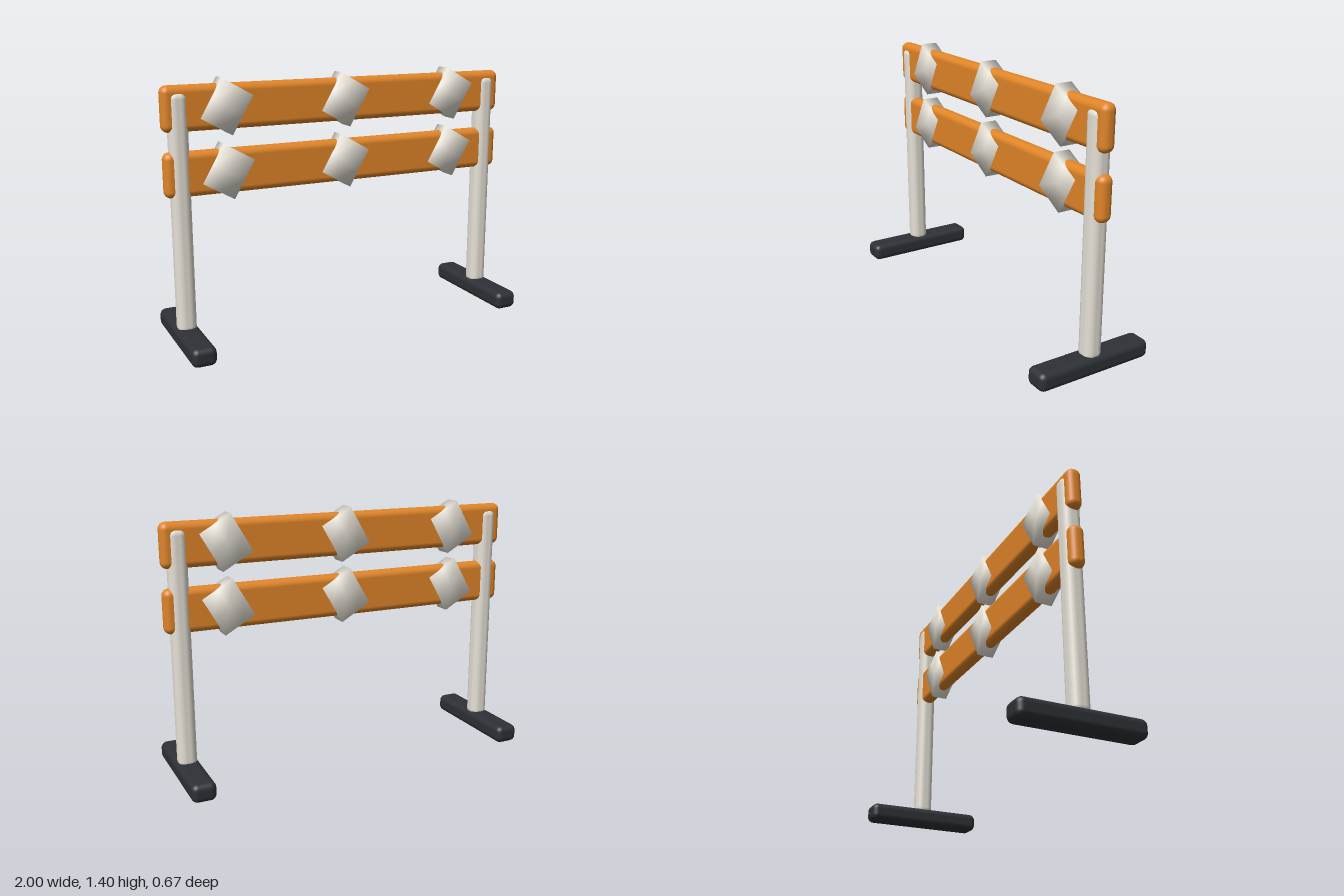
import * as THREE from 'three';
import { RoundedBoxGeometry } from 'three/addons/geometries/RoundedBoxGeometry.js';
import { mergeVertices } from 'three/addons/utils/BufferGeometryUtils.js';

const orange = new THREE.MeshStandardMaterial({ color: 0xe08528 });
const cream = new THREE.MeshStandardMaterial({ color: 0xe6e1d6 });
const black = new THREE.MeshStandardMaterial({ color: 0x2d3135 });

// Box with shared corners, so shading runs softly over its edges
function softBox(w, h, d) {
  const box = new THREE.BoxGeometry(w, h, d, 2, 2, 1);
  box.deleteAttribute('normal');
  box.deleteAttribute('uv');
  const geometry = mergeVertices(box);
  geometry.computeVertexNormals();
  return geometry;
}

export function createModel() {
  const group = new THREE.Group();
  const add = (name, geometry, material, x, y, z = 0) => {
    const mesh = new THREE.Mesh(geometry, material);
    mesh.name = name;
    mesh.position.set(x, y, z);
    group.add(mesh);
    return mesh;
  };

  // Feet and posts at both ends
  const foot = new RoundedBoxGeometry(0.13, 0.1, 0.666, 4, 0.033);
  const post = new RoundedBoxGeometry(0.1, 1.273, 0.1, 5, 0.04);
  for (const [side, x] of [['left', 0.915], ['right', -0.915]]) {
    add(side + 'Foot', foot, black, x, 0.05);
    add(side + 'Post', post, cream, x, 0.7065);
  }

  // Two boards, each with three slanted stripes wrapped around it
  const board = new RoundedBoxGeometry(2, 0.234, 0.08, 5, 0.036);
  const stripe = softBox(0.19, 0.23, 0.094);
  for (const [level, y] of [['upper', 1.253], ['lower', 0.919]]) {
    add(level + 'Board', board, orange, 0, y);
    [-0.667, 0, 0.667].forEach((x, i) => {
      add(level + 'Stripe' + (i + 1), stripe, cream, x, y).rotation.z = -Math.PI / 6;
    });
  }
  return group;
}
